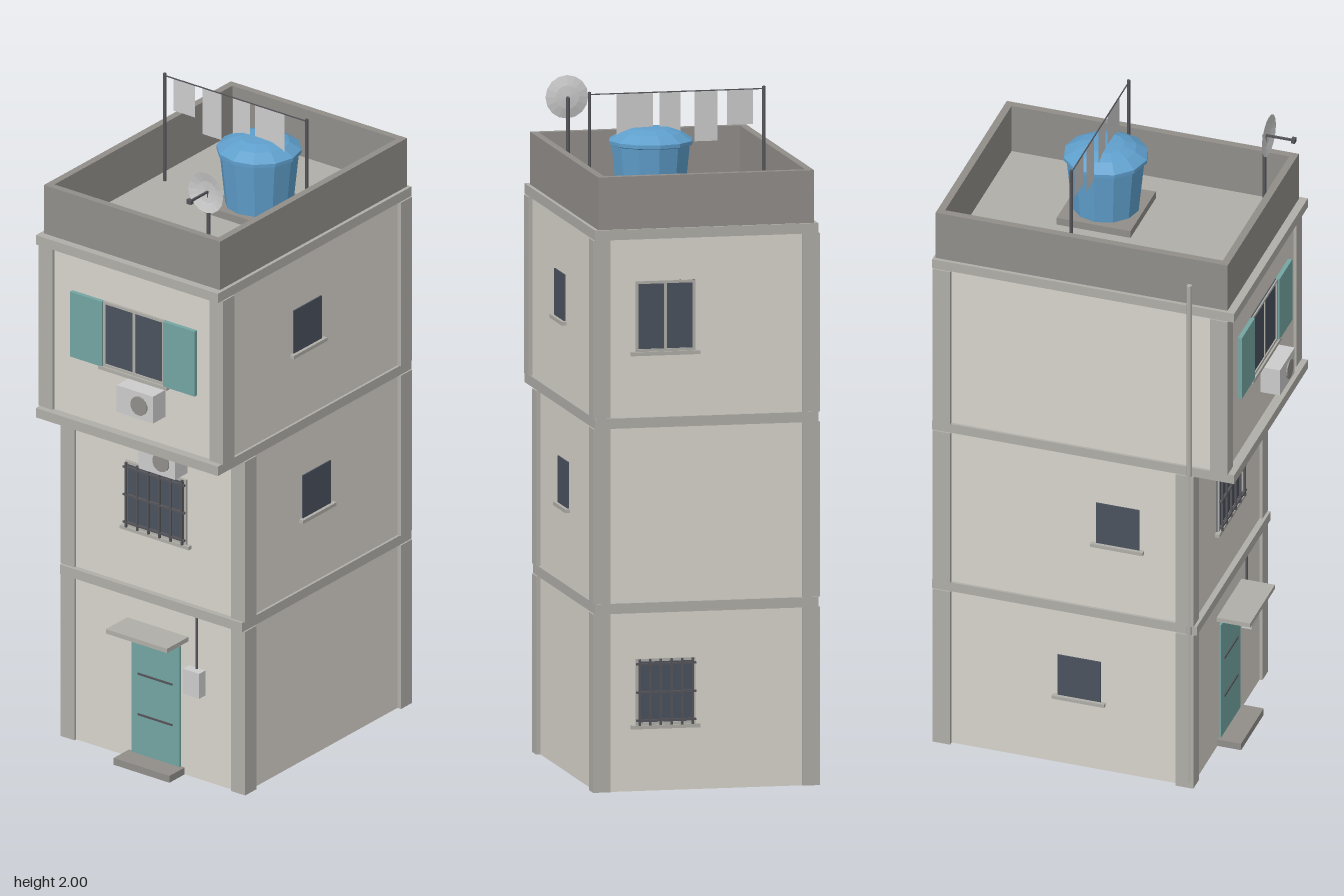
import * as THREE from 'three';

const mat = (color, opts = {}) => new THREE.MeshStandardMaterial({ color, flatShading: true, ...opts });
const M = {
  wall: mat(0xd8d4cc), concrete: mat(0xb0aea8), parapet: mat(0x918e8a), dark: mat(0x55555a),
  glass: mat(0x4a525e), teal: mat(0x74a5a2), blue: mat(0x5f9fcc),
  light: mat(0xcccccc), cloth: mat(0xd8d8d8, { side: THREE.DoubleSide }),
  dish: mat(0xcccccc, { side: THREE.DoubleSide }),
};

function add(parent, name, geo, material, x = 0, y = 0, z = 0) {
  const m = new THREE.Mesh(geo, material);
  m.name = name;
  m.position.set(x, y, z);
  parent.add(m);
  return m;
}

// Box given by its min and max on each axis
function box(parent, name, material, [x0, x1], [y0, y1], [z0, z1]) {
  return add(parent, name, new THREE.BoxGeometry(x1 - x0, y1 - y0, z1 - z0), material,
    (x0 + x1) / 2, (y0 + y1) / 2, (z0 + z1) / 2);
}

function rod(parent, name, material, r, y0, y1, x, z, sides = 6) {
  return add(parent, name, new THREE.CylinderGeometry(r, r, y1 - y0, sides), material, x, (y0 + y1) / 2, z);
}

// Hollow rectangular ring of walls, open at top and bottom
function ring(parent, name, material, hx, z0, z1, y0, y1, t) {
  const rect = (P, x, a, b) => new P([[-x, a], [x, a], [x, b], [-x, b]].map(p => new THREE.Vector2(...p)));
  const shape = rect(THREE.Shape, hx, -z1, -z0);
  shape.holes.push(rect(THREE.Path, hx - t, -z1 + t, -z0 - t));
  const geo = new THREE.ExtrudeGeometry(shape, { depth: y1 - y0, bevelEnabled: false });
  geo.rotateX(-Math.PI / 2);
  return add(parent, name, geo, material, 0, y0, 0);
}

// Window facing local +z, centred on its glass
function windowUnit(parent, name, w, h, pos, turn, { frame = false, mullion = false, grille = false } = {}) {
  const g = new THREE.Group();
  g.name = name;
  g.position.set(...pos);
  g.rotation.y = turn;
  parent.add(g);
  const a = w / 2, b = h / 2, f = 0.008;
  box(g, 'glass', M.glass, [-a, a], [-b, b], [-0.025, 0.004]);
  box(g, 'sill', M.concrete, [-a - 0.014, a + 0.014], [-b - 0.011, -b], [-0.02, 0.014]);
  if (frame) {
    for (const s of [-1, 1]) {
      box(g, 'frameSide', M.concrete, [s * (a - f / 2) - f / 2, s * (a - f / 2) + f / 2], [-b, b], [-0.02, 0.008]);
      box(g, 'frameRail', M.concrete, [-a, a], [s * (b - f / 2) - f / 2, s * (b - f / 2) + f / 2], [-0.02, 0.008]);
    }
  }
  if (mullion) box(g, 'mullion', M.concrete, [-0.004, 0.004], [-b, b], [-0.02, 0.007]);
  if (grille) {
    for (let i = 0; i < 6; i++) {
      const x = -a + 0.01 + (w - 0.02) * i / 5;
      box(g, 'grilleBar', M.dark, [x - 0.003, x + 0.003], [-b, b], [0.012, 0.018]);
    }
    for (const y of [-b * 0.85, 0, b * 0.85])
      box(g, 'grilleRail', M.dark, [-a, a], [y - 0.003, y + 0.003], [0.01, 0.018]);
  }
}

export function createModel() {
  const house = new THREE.Group();
  house.name = 'house';
  const back = -0.47, HX = 0.325;

  // Storeys: walls, corner pillars and floor slabs
  const storeys = [
    { y0: 0, y1: 0.525, front: 0.315, slabFront: 0.333 },
    { y0: 0.555, y1: 1.07, front: 0.315, slabFront: 0.448 },
    { y0: 1.10, y1: 1.625, front: 0.42, slabFront: 0.448 },
  ];
  for (const { y0, y1, front, slabFront } of storeys) {
    ring(house, 'storeyWalls', M.wall, HX, back, front, y0, y1, 0.02);
    for (const s of [-1, 1]) {
      const xs = s > 0 ? [0.287, 0.338] : [-0.338, -0.287];
      box(house, 'frontPillar', M.concrete, xs, [y0, y1], [front - 0.045, front + 0.009]);
      box(house, 'backPillar', M.concrete, xs, [y0, y1], [back - 0.007, back + 0.047]);
    }
    box(house, 'floorSlab', M.concrete, [-0.333, 0.333], [y1, y1 + 0.03], [-0.48, slabFront]);
  }
  ring(house, 'parapet', M.parapet, 0.322, -0.473, 0.424, 1.655, 1.81, 0.022);

  // Entrance
  const door = new THREE.Group();
  door.name = 'entrance';
  house.add(door);
  box(door, 'door', M.teal, [-0.08, 0.096], [0.022, 0.408], [0.285, 0.322]);
  for (const y of [0.15, 0.28]) box(door, 'doorRail', M.dark, [-0.055, 0.07], [y - 0.003, y + 0.003], [0.32, 0.325]);
  box(door, 'doorStep', M.parapet, [-0.094, 0.11], [0, 0.022], [0.3, 0.388]);
  box(door, 'canopy', M.concrete, [-0.1, 0.124], [0.431, 0.445], [0.31, 0.418]);
  box(door, 'meterBox', M.light, [0.126, 0.186], [0.275, 0.355], [0.31, 0.345]);
  rod(door, 'meterCable', M.dark, 0.004, 0.355, 0.525, 0.158, 0.32);

  // Front windows and shutters
  windowUnit(house, 'frontBarredWindow', 0.224, 0.208, [0.009, 0.846, 0.315], 0, { frame: true, grille: true });
  windowUnit(house, 'frontUpperWindow', 0.224, 0.208, [0.009, 1.397, 0.42], 0, { frame: true, mullion: true });
  for (const [x0, x1] of [[-0.22, -0.103], [0.121, 0.236]])
    box(house, 'shutter', M.teal, [x0, x1], [1.292, 1.5], [0.41, 0.433]);

  // Back windows
  windowUnit(house, 'backBarredWindow', 0.178, 0.195, [0.122, 0.292, back], Math.PI, { frame: true, grille: true });
  windowUnit(house, 'backUpperWindow', 0.178, 0.208, [0.122, 1.397, back], Math.PI, { frame: true, mullion: true });

  // Side windows: [side, height, z]
  for (const [s, y, z] of [[1, 1.393, 0.011], [1, 0.848, -0.033], [-1, 0.848, 0.088], [-1, 0.302, -0.03]])
    windowUnit(house, 'sideWindow', 0.133, 0.137, [s * HX, y, z], s * Math.PI / 2);

  // Air conditioners
  for (const [y, z] of [[1.013, 0.315], [1.233, 0.42]]) {
    box(house, 'airConditioner', M.light, [-0.013, 0.12], [y - 0.043, y + 0.043], [z - 0.01, z + 0.06]);
    const fan = add(house, 'fanGrille', new THREE.CylinderGeometry(0.03, 0.03, 0.006, 14), M.parapet, 0.07, y, z + 0.061);
    fan.rotation.x = Math.PI / 2;
  }

  // Drain pipe on the right-hand wall
  rod(house, 'drainPipe', M.concrete, 0.008, 0.02, 1.725, -0.333, 0.31, 8);

  // Water tank on its plinth
  box(house, 'tankPlinth', M.parapet, [-0.037, 0.191], [1.655, 1.678], [-0.198, 0.029]);
  const profile = [[0, 1.678], [0.1, 1.678], [0.117, 1.842], [0.125, 1.845], [0.125, 1.856],
    [0.09, 1.878], [0.055, 1.89], [0, 1.892]].map(p => new THREE.Vector2(...p));
  add(house, 'waterTank', new THREE.LatheGeometry(profile, 12), M.blue, 0.077, 0, -0.085);

  // Clothes line
  const lineZ = -0.077;
  for (const x of [-0.262, 0.258]) rod(house, 'linePole', M.dark, 0.005, 1.655, 2, x, lineZ);
  box(house, 'clothesLine', M.dark, [-0.262, 0.258], [1.991, 1.994], [lineZ - 0.0015, lineZ + 0.0015]);
  for (const [x0, x1, drop] of [[-0.23, -0.152, 0.105], [-0.124, -0.055, 0.15], [-0.013, 0.05, 0.12], [0.068, 0.177, 0.13]])
    add(house, 'laundry', new THREE.PlaneGeometry(x1 - x0, drop), M.cloth, (x0 + x1) / 2, 1.994 - drop / 2, lineZ);

  // Satellite dish
  const dish = new THREE.Group();
  dish.name = 'satelliteDish';
  dish.position.set(0.225, 1.918, 0.355);
  house.add(dish);
  rod(dish, 'dishPole', M.dark, 0.006, -0.263, 0, 0, -0.004);
  const bowl = [[0, 0], [0.035, 0.003], [0.064, 0.01]].map(p => new THREE.Vector2(...p));
  add(dish, 'dishBowl', new THREE.LatheGeometry(bowl, 16), M.dish).rotation.x = Math.PI / 2;
  box(dish, 'feedArm', M.dark, [-0.003, 0.003], [-0.003, 0.003], [0, 0.085]);
  box(dish, 'feedHead', M.dark, [-0.008, 0.008], [-0.007, 0.007], [0.08, 0.092]);

  return house;
}
